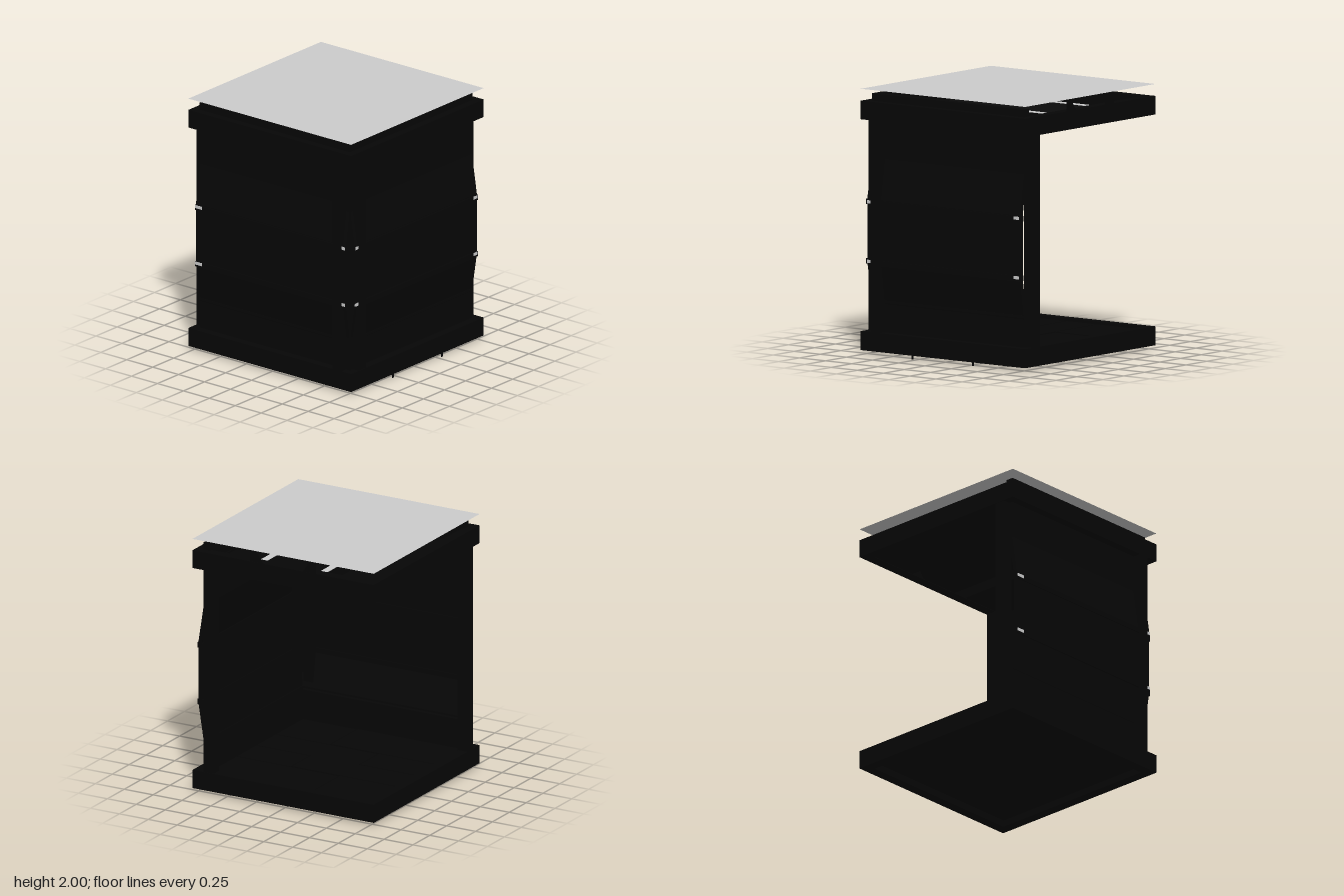
import * as THREE from 'three';

export function createModel() {
  const model = new THREE.Group();
  const dark = new THREE.MeshStandardMaterial({ color: 0x060606 });
  const darkSheet = new THREE.MeshStandardMaterial({ color: 0x060606, side: THREE.DoubleSide });
  const pale = new THREE.MeshStandardMaterial({ color: 0xcccccc });
  const paleSheet = new THREE.MeshStandardMaterial({ color: 0xcccccc, side: THREE.DoubleSide });
  const shapeOf = (points) => new THREE.Shape(points.map(([x, y]) => new THREE.Vector2(x, y)));

  function add(parent, name, geometry, material) {
    const mesh = new THREE.Mesh(geometry, material);
    mesh.name = name;
    parent.add(mesh);
    return mesh;
  }

  // Box given by its min and max corners
  function box(parent, name, [x0, x1], [y0, y1], [z0, z1], material = dark) {
    const geometry = new THREE.BoxGeometry(x1 - x0, y1 - y0, z1 - z0);
    add(parent, name, geometry, material).position.set((x0 + x1) / 2, (y0 + y1) / 2, (z0 + z1) / 2);
  }

  // Square frame of four beams
  function frame(name, outer, width, y) {
    const group = new THREE.Group();
    group.name = name;
    const inner = outer - width;
    for (const s of [-1, 1]) {
      const range = s > 0 ? [inner, outer] : [-outer, -inner];
      box(group, 'longBeam', [-outer, outer], y, range);
      box(group, 'crossBeam', range, y, [-inner, inner]);
    }
    model.add(group);
  }

  // Thin boarded wall that bulges outwards, built facing +z
  function wall(name) {
    const group = new THREE.Group();
    group.name = name;
    const outer = [[0.72, 0.12], [0.72, 0.38], [0.768, 0.69], [0.768, 1.17], [0.72, 1.48], [0.72, 1.80]];
    const inner = outer.map(([z, y]) => [z - 0.03, y]).reverse();
    const profile = shapeOf([...outer, ...inner].map(([z, y]) => [-z, y]));
    const panel = new THREE.ExtrudeGeometry(profile, { depth: 1.45, bevelEnabled: false });
    panel.rotateY(Math.PI / 2).translate(-0.725, 0, 0);
    add(group, 'boardedPanel', panel, dark);
    // Upright fins set back at both ends
    for (const x of [[-0.783, -0.70], [0.70, 0.783]]) {
      box(group, 'endFin', x, [0.15, 1.78], [0.605, 0.69]);
    }
    // Ledges between the boards, with pale end clips
    for (const y of [0.70, 1.15]) {
      box(group, 'seamLedge', [-0.725, 0.725], [y - 0.025, y + 0.015], [0.73, 0.778]);
      for (const x of [[-0.725, -0.66], [0.67, 0.72]]) {
        box(group, 'endClip', x, [y - 0.01, y + 0.014], [0.77, 0.780], pale);
      }
    }
    box(group, 'lowerSeam', [-0.72, 0.72], [0.395, 0.41], [0.685, 0.728]);
    model.add(group);
    return group;
  }

  wall('frontWall');
  const leftWall = wall('leftWall');
  leftWall.rotation.y = Math.PI / 2;

  // Corner strips: covered by the bulge outside, proud of the wall above and below it
  box(model, 'cornerStrip', [0.61, 0.727], [0.15, 1.78], [0.71, 0.727]);
  box(model, 'cornerStrip', [0.71, 0.727], [0.15, 1.78], [0.61, 0.71]);

  // Base frame and floor
  frame('baseFrame', 0.785, 0.08, [0.027, 0.17]);
  box(model, 'floorPanel', [-0.72, 0.72], [0.08, 0.125], [-0.72, 0.72]);
  const floor = new THREE.Group();
  floor.name = 'floorPlanks';
  const edges = [-0.705, -0.29, 0, 0.29, 0.705];
  for (let row = 0; row < 4; row++) {
    const split = row % 2 ? 0.22 : -0.2;
    const z = [edges[row] + 0.006, edges[row + 1] - 0.006];
    box(floor, 'plank', [-0.705, split - 0.006], [0.12, 0.15], z);
    box(floor, 'plank', [split + 0.006, 0.705], [0.12, 0.145], z);
  }
  model.add(floor);

  // Flat pegs below the base
  for (const x of [-0.784, 0.786]) {
    for (const z of [-0.29, 0.29]) {
      const peg = new THREE.PlaneGeometry(0.02, 0.17).rotateY(Math.PI / 2);
      add(model, 'basePeg', peg, dark).position.set(x, 0.085, z);
    }
  }

  // Upper frame and raised rims
  frame('topFrame', 0.785, 0.08, [1.77, 1.91]);
  box(model, 'frontRim', [-0.725, 0.725], [1.90, 1.965], [0.665, 0.725]);
  box(model, 'leftRim', [0.665, 0.725], [1.90, 1.965], [-0.725, 0.725]);

  // Ceiling sheet folded into two hollow ridges
  const half = [[0.17, 1.775], [0.23, 1.862], [0.29, 1.862], [0.29, 1.775], [0.72, 1.775]];
  const lower = [...half.map(([x, y]) => [-x, y]).reverse(), ...half];
  const upper = lower.map(([x, y]) => [x, y + 0.012]).reverse();
  const ceiling = new THREE.ExtrudeGeometry(shapeOf([...lower, ...upper]), { depth: 1.42, bevelEnabled: false });
  add(model, 'ceilingSheet', ceiling.translate(0, 0, -0.71), darkSheet);

  // Slanted tabs and pale ridge tops, mirrored across the centre
  for (const side of [-1, 1]) {
    const tab = shapeOf([[0.285, 0], [0.285, 0.09], [0.23, 0.09], [0.17, 0]].map(([x, y]) => [side * x, y]));
    for (const [name, y, z] of [['backTab', 1.908, -0.784], ['frontTab', 1.77, 0.787]]) {
      add(model, name, new THREE.ShapeGeometry(tab), darkSheet).position.set(0, y, z);
    }
    box(model, 'ridgeTop', [side * 0.26 - 0.028, side * 0.26 + 0.028], [1.859, 1.877], [-0.70, 0.60], pale);
  }

  // Flat cover sheet
  const cover = new THREE.PlaneGeometry(1.57, 1.57).rotateX(-Math.PI / 2);
  add(model, 'coverSheet', cover, paleSheet).position.y = 2;

  return model;
}
